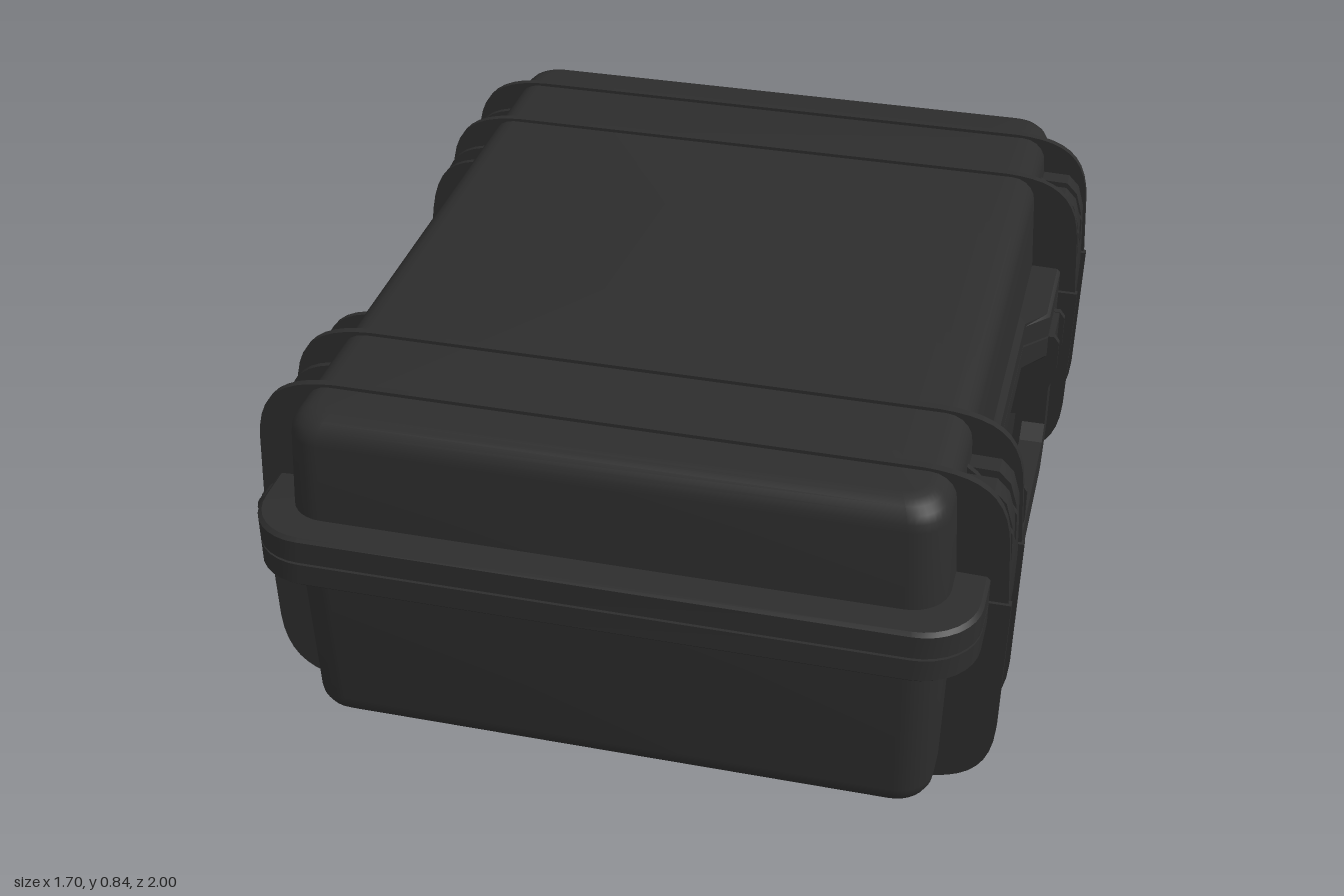
import * as THREE from 'three';
import { toCreasedNormals } from 'three/addons/utils/BufferGeometryUtils.js';

const plastic = new THREE.MeshStandardMaterial({ color: 0x2d2d2d });
plastic.name = 'black plastic';

// Rounded rectangle ring, with a shallow recess in the rim on the handle side
function ring(inset, y) {
  if (inset === null) return Array.from({ length: 40 }, () => [0, y, 0]);
  const hx = 0.8 - inset, hz = 1 - inset, r = Math.max(0.13 - inset * 0.6, 0.03);
  const pts = [];
  for (let q = 0; q < 4; q++) {
    const sx = q === 0 || q === 3 ? 1 : -1, sz = q < 2 ? 1 : -1;
    for (let i = 0; i <= 8; i++) {
      const a = (q + i / 8) * Math.PI / 2;
      pts.push([sx * (hx - r) + r * Math.cos(a), y, sz * (hz - r) + r * Math.sin(a)]);
    }
  }
  for (const z of [-0.31, -0.25, 0.25, 0.31]) {
    pts.push([Math.min(hx, 0.745 + Math.abs(z) - 0.25), y, z]);
  }
  return pts;
}

// Skin over rings given as [inset, height], bottom to top; null inset closes a cap
function loft(profile) {
  const pos = [], idx = [], n = 40;
  for (const [inset, y] of profile) pos.push(...ring(inset, y).flat());
  for (let j = 0; j < profile.length - 1; j++) {
    for (let i = 0; i < n; i++) {
      const a = j * n + i, c = j * n + (i + 1) % n;
      idx.push(a, a + n, c, c, a + n, c + n);
    }
  }
  const geo = new THREE.BufferGeometry();
  geo.setAttribute('position', new THREE.Float32BufferAttribute(pos, 3));
  geo.setIndex(idx);
  return toCreasedNormals(geo, 0.6);
}

// Quarter-round edge from the wall to the flat top or bottom
function fillet(wall, yFlat, dir) {
  const r = 0.06;
  return Array.from({ length: 6 }, (_, i) => {
    const a = i / 5 * Math.PI / 2;
    return [wall + r * (1 - Math.cos(a)), yFlat - dir * r * (1 - Math.sin(a))];
  });
}

function extrude(shape, depth) {
  const geo = new THREE.ExtrudeGeometry(shape, { depth, bevelEnabled: false, curveSegments: 10 });
  geo.translate(0, 0, -depth / 2);
  return toCreasedNormals(geo, 0.6);
}

function polygon(points) {
  return new THREE.Shape(points.map(([x, y]) => new THREE.Vector2(x, y)));
}

// Half of a reinforcing rib: rounded corners toward yFlat, straight at the seam
function ribShape(w, ySeam, yFlat) {
  const d = Math.sign(yFlat - ySeam), s = new THREE.Shape();
  s.moveTo(w, ySeam);
  s.lineTo(w - 0.008, yFlat - d * 0.17);
  s.bezierCurveTo(w - 0.015, yFlat - d * 0.04, w - 0.08, yFlat - d * 0.005, w - 0.2, yFlat);
  s.lineTo(-w + 0.2, yFlat);
  s.bezierCurveTo(-w + 0.08, yFlat - d * 0.005, -w + 0.015, yFlat - d * 0.04, -w + 0.008, yFlat - d * 0.17);
  s.lineTo(-w, ySeam);
  return s;
}

export function createModel() {
  const model = new THREE.Group();
  model.name = 'hardCase';
  const add = (name, geo, x = 0, y = 0, z = 0) => {
    const mesh = new THREE.Mesh(geo, plastic);
    mesh.name = name;
    mesh.position.set(x, y, z);
    model.add(mesh);
    return mesh;
  };
  const box = (name, w, h, d, x, y, z) => add(name, new THREE.BoxGeometry(w, h, d), x, y, z);

  // Two shells with overhanging rims, parted by a narrow seam
  add('lid', loft([[null, 0.523], [0, 0.523], [0, 0.578], [0.008, 0.586], [0.073, 0.588],
    ...fillet(0.083, 0.835, 1), [null, 0.835]]));
  add('base', loft([[null, 0.014], ...fillet(0.083, 0.014, -1).reverse(),
    [0.072, 0.455], [0.008, 0.457], [0, 0.465], [0, 0.517], [null, 0.517]]));

  // Wraparound ribs
  const lidRib = extrude(ribShape(0.842, 0.523, 0.843), 0.018);
  const baseRib = extrude(ribShape(0.848, 0.517, 0), 0.018);

  // Latch plate, finger and fin profiles
  const latchPlate = extrude(polygon([[0.72, 0.31], [0.8, 0.31], [0.822, 0.325], [0.834, 0.4],
    [0.836, 0.5], [0.832, 0.59], [0.72, 0.59]]), 0.195);
  const latchFinger = extrude(polygon([[0.72, 0.585], [0.832, 0.585], [0.828, 0.66],
    [0.812, 0.715], [0.785, 0.743], [0.72, 0.745]]), 0.048);
  const latchFin = extrude(polygon([[0.7, 0.585], [0.834, 0.585], [0.832, 0.65], [0.815, 0.675],
    [0.78, 0.69], [0.74, 0.74], [0.7, 0.77]]), 0.014);

  // Hinge fins for the upper and lower shell
  const fin = new THREE.Shape();
  fin.moveTo(-0.69, 0.523);
  fin.lineTo(-0.69, 0.79);
  fin.bezierCurveTo(-0.8, 0.78, -0.842, 0.74, -0.85, 0.523);
  const lidFin = extrude(fin, 0.014);
  const low = new THREE.Shape();
  low.moveTo(-0.69, 0.517);
  low.lineTo(-0.852, 0.517);
  low.bezierCurveTo(-0.852, 0.36, -0.82, 0.3, -0.69, 0.27);
  const baseFin = extrude(low, 0.014);

  // Handle bracket fin
  const bracket = extrude(polygon([[0.7, 0.27], [0.76, 0.28], [0.805, 0.34], [0.828, 0.42],
    [0.828, 0.5], [0.815, 0.517], [0.7, 0.517]]), 0.016);

  for (const s of [1, -1]) {
    for (const z of [0.547, 0.767]) {
      add('lidRib', lidRib, 0, 0, s * z);
      add('baseRib', baseRib, 0, 0, s * z);
    }
    add('latchPlate', latchPlate, 0, 0, s * 0.662);
    for (const z of [0.735, 0.662, 0.589]) add('latchFinger', latchFinger, 0, 0, s * z);
    for (const z of [0.698, 0.625]) add('latchFin', latchFin, 0, 0, s * z);

    for (const z of [0.39, 0.47, 0.615, 0.695]) {
      add('lidHingeFin', lidFin, 0, 0, s * z);
      add('baseHingeFin', baseFin, 0, 0, s * z);
    }
    const barrel = add('hingeBarrel', new THREE.CylinderGeometry(0.037, 0.037, 0.48, 20), -0.8, 0.52, s * 0.585);
    barrel.rotation.x = Math.PI / 2;

    for (const z of [0.325, 0.448]) add('handleBracket', bracket, 0, 0, s * z);
    box('handlePivot', 0.07, 0.075, 0.108, 0.78, 0.478, s * 0.386);
  }

  // Folded carrying handle, open in the middle
  const grip = polygon([[-0.43, 0.44], [-0.43, 0.19], [-0.34, 0.1], [0.34, 0.1], [0.43, 0.19], [0.43, 0.44],
    [0.345, 0.44], [0.345, 0.235], [0.31, 0.2], [-0.31, 0.2], [-0.345, 0.235], [-0.345, 0.44]]);
  const handle = add('handle', extrude(grip, 0.058), 0.781);
  handle.rotation.y = -Math.PI / 2;

  return model;
}
